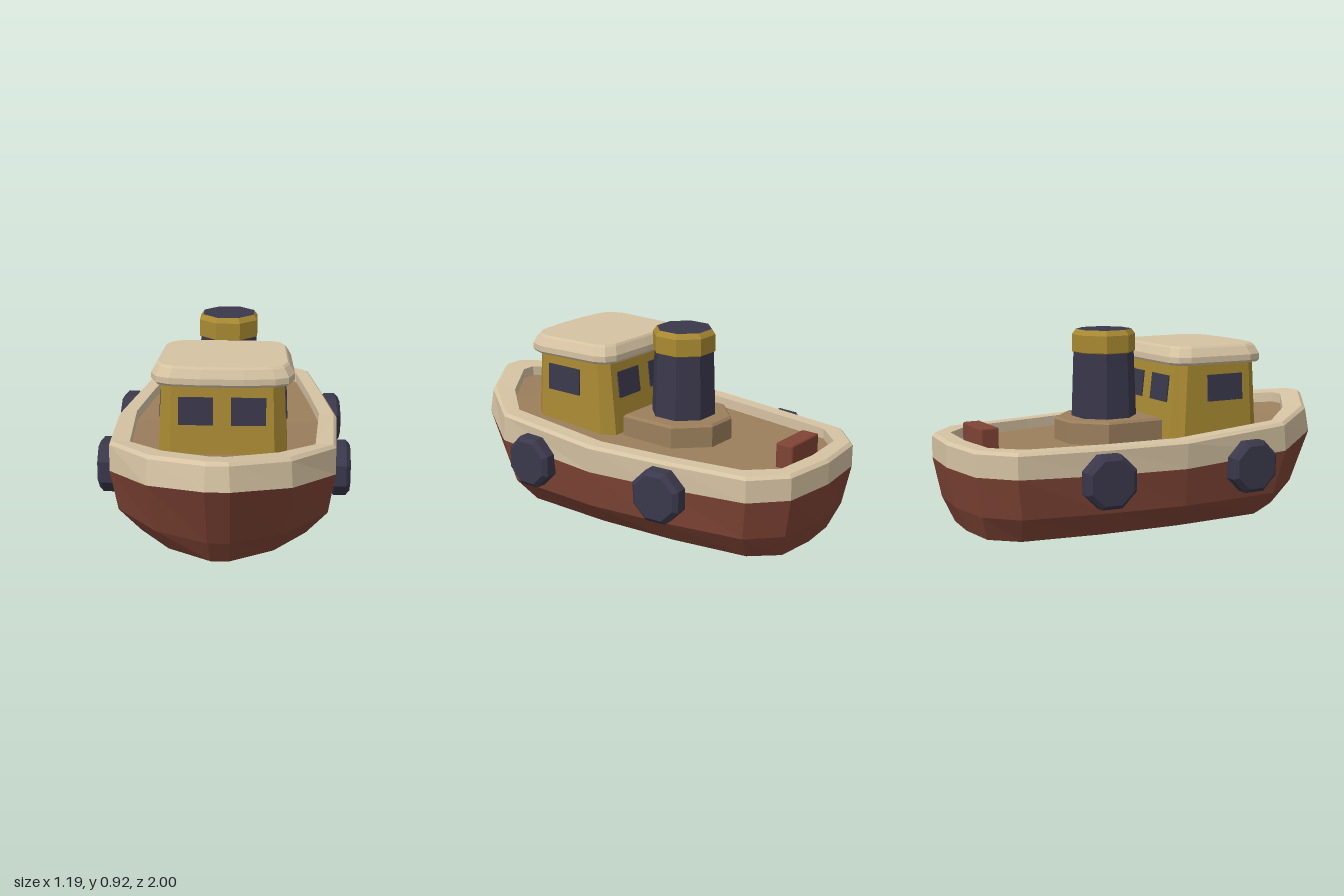
import * as THREE from 'three';
import { RoundedBoxGeometry } from 'three/addons/geometries/RoundedBoxGeometry.js';

const paint = (name, color) => {
  const m = new THREE.MeshStandardMaterial({ color });
  m.name = name;
  return m;
};

// Half outline of [x, z, y] points, stern to bow, mirrored into a closed ring.
function ring(half, y, grow = 0) {
  const right = half.map(([x, z, py]) => [x, (y ?? py) + grow, z]);
  const left = right.filter(p => p[0] > 0).reverse().map(([x, py, z]) => [-x, py, z]);
  return [...right, ...left];
}

// Faceted skin through a stack of rings, with optional end caps.
function loft(rings, { bottom = false, top = false } = {}) {
  const pos = [];
  const quad = (a, b, c, d) => pos.push(...a, ...b, ...c, ...a, ...c, ...d);
  const n = rings[0].length;
  for (let r = 0; r < rings.length - 1; r++) {
    const lo = rings[r], hi = rings[r + 1];
    for (let i = 0; i < n; i++) {
      const j = (i + 1) % n;
      quad(lo[i], hi[i], hi[j], lo[j]);
    }
  }
  const cap = (p, up) => {
    for (let i = 0; i < (n - 1) / 2; i++) {
      const m = (n - i) % n, k = n - i - 1;
      if (up) quad(p[i], p[m], p[k], p[i + 1]);
      else quad(p[i], p[i + 1], p[k], p[m]);
    }
  };
  if (bottom) cap(rings[0], false);
  if (top) cap(rings[rings.length - 1], true);
  const g = new THREE.BufferGeometry();
  g.setAttribute('position', new THREE.Float32BufferAttribute(pos, 3));
  g.computeVertexNormals();
  return g;
}

// Eight-sided turned solid with flat faces.
function octagon(profile) {
  const pts = profile.map(([r, y]) => new THREE.Vector2(r, y));
  const g = new THREE.LatheGeometry(pts, 8, Math.PI / 8).toNonIndexed();
  g.computeVertexNormals();
  return g;
}

export function createModel() {
  const red = paint('hull red', 0x7f4435);
  const cream = paint('cream', 0xd6c3a3);
  const tan = paint('deck tan', 0x9b7f5c);
  const mustard = paint('mustard', 0xa98a33);
  const navy = paint('dark navy', 0x3a384b);

  const boat = new THREE.Group();
  boat.name = 'tugboat';
  const add = (name, geo, mat, x = 0, y = 0, z = 0) => {
    const mesh = new THREE.Mesh(geo, mat);
    mesh.name = name;
    mesh.position.set(x, y, z);
    boat.add(mesh);
    return mesh;
  };

  // Hull outlines from keel to rim
  const keel = [[0, -0.91], [0.2, -0.89], [0.31, -0.77], [0.37, -0.4], [0.4, 0], [0.39, 0.45], [0.24, 0.66], [0.04, 0.79]];
  const chine = [[0, -0.965], [0.25, -0.935], [0.39, -0.8], [0.465, -0.4], [0.51, -0.02], [0.49, 0.49], [0.29, 0.74], [0.05, 0.865]];
  const seam = [[0, -1, 0.31], [0.27, -0.97, 0.31], [0.42, -0.83, 0.31], [0.485, -0.4, 0.3], [0.535, -0.03, 0.3],
    [0.52, 0.54, 0.33], [0.32, 0.83, 0.375], [0.055, 1, 0.415]];
  const rimOuter = [[0, -1, 0.415], [0.27, -0.97, 0.415], [0.42, -0.83, 0.415], [0.49, -0.4, 0.415], [0.543, -0.03, 0.42],
    [0.52, 0.53, 0.455], [0.315, 0.81, 0.49], [0.05, 0.98, 0.525]];
  const rimTop = [[0, -0.985, 0.43], [0.264, -0.955, 0.43], [0.408, -0.82, 0.43], [0.477, -0.4, 0.43], [0.528, -0.03, 0.434],
    [0.507, 0.525, 0.47], [0.305, 0.795, 0.505], [0.047, 0.962, 0.54]];
  const rimInner = [[0, -0.91, 0.43], [0.23, -0.89, 0.43], [0.35, -0.765, 0.43], [0.41, -0.4, 0.43], [0.457, -0.04, 0.434],
    [0.425, 0.52, 0.468], [0.26, 0.71, 0.495], [0.035, 0.86, 0.525]];

  add('hull', loft([ring(keel, 0), ring(chine, 0.12), ring(seam)], { bottom: true }), red);
  add('bulwark', loft([ring(seam), ring(rimOuter), ring(rimTop), ring(rimInner), ring(rimInner, undefined, -0.05)]), cream);
  add('deck', loft([ring(rimInner, undefined, -0.05)], { top: true }), tan);

  // Wheelhouse with tapered walls and a bevelled roof
  const wallFoot = [[0, 0.04], [0.25, 0.04], [0.297, 0.1], [0.297, 0.49], [0.24, 0.553]];
  const wallHead = [[0, 0.085], [0.24, 0.085], [0.28, 0.13], [0.28, 0.48], [0.23, 0.535]];
  add('wheelhouse', loft([ring(wallFoot, 0.37), ring(wallHead, 0.77)], { bottom: true, top: true }), mustard);

  const eaves = [[0, 0.045], [0.23, 0.05], [0.285, 0.075], [0.31, 0.13], [0.327, 0.46], [0.3, 0.53], [0.24, 0.56], [0.1, 0.575]];
  const shrink = (half, s) => half.map(([x, z]) => [x * s, 0.31 + (z - 0.31) * s]);
  add('roof', loft([ring(shrink(eaves, 0.97), 0.745), ring(eaves, 0.757), ring(eaves, 0.785),
    ring(shrink(eaves, 0.93), 0.825), ring(shrink(eaves, 0.9), 0.835)], { bottom: true, top: true }), cream);

  // Windows: two ahead, two astern, one each side
  for (const s of [1, -1]) {
    const front = add('frontWindow', new THREE.BoxGeometry(0.158, 0.13, 0.009), navy, s * 0.12, 0.626, 0.543);
    front.rotation.x = -0.045;
    const back = add('backWindow', new THREE.BoxGeometry(0.158, 0.13, 0.009), navy, s * 0.12, 0.626, 0.067);
    back.rotation.x = 0.112;
    const side = add('sideWindow', new THREE.BoxGeometry(0.009, 0.13, 0.2), navy, s * 0.288, 0.628, 0.337);
    side.rotation.z = s * 0.043;
  }

  // Funnel on its plinth
  const plinth = [[0, -0.41], [0.08, -0.41], [0.22, -0.27], [0.22, 0.02]];
  const plinthTop = [[0, -0.4], [0.076, -0.4], [0.21, -0.265], [0.21, 0.01]];
  add('funnelPlinth', loft([ring(plinth, 0.36), ring(plinth, 0.48), ring(plinthTop, 0.492)], { bottom: true, top: true }), tan);
  add('funnel', octagon([[0.159, 0.48], [0.147, 0.81]]), navy, 0, 0, -0.18);
  add('funnelBand', octagon([[0.146, 0.803], [0.154, 0.808], [0.154, 0.89], [0.135, 0.915]]), mustard, 0, 0, -0.18);
  add('funnelCap', octagon([[0.135, 0.915], [0, 0.916]]), navy, 0, 0, -0.18);

  // Stern locker
  add('sternLocker', new RoundedBoxGeometry(0.23, 0.135, 0.09, 1, 0.01), red, 0, 0.43, -0.83);

  // Fenders on both sides, the rear pair turned to follow the hull
  const fenderProfile = [[0, 0], [0.112, 0], [0.132, 0.02], [0.132, 0.075], [0.11, 0.095], [0, 0.095]];
  for (const s of [1, -1]) {
    for (const [name, x, z, turn] of [['frontFender', 0.5, 0.32, 0], ['rearFender', 0.478, -0.43, 0.08]]) {
      const g = octagon(fenderProfile).rotateZ(-s * Math.PI / 2);
      add(name, g, navy, s * x, 0.283, z).rotation.y = s * turn;
    }
  }
  return boat;
}
